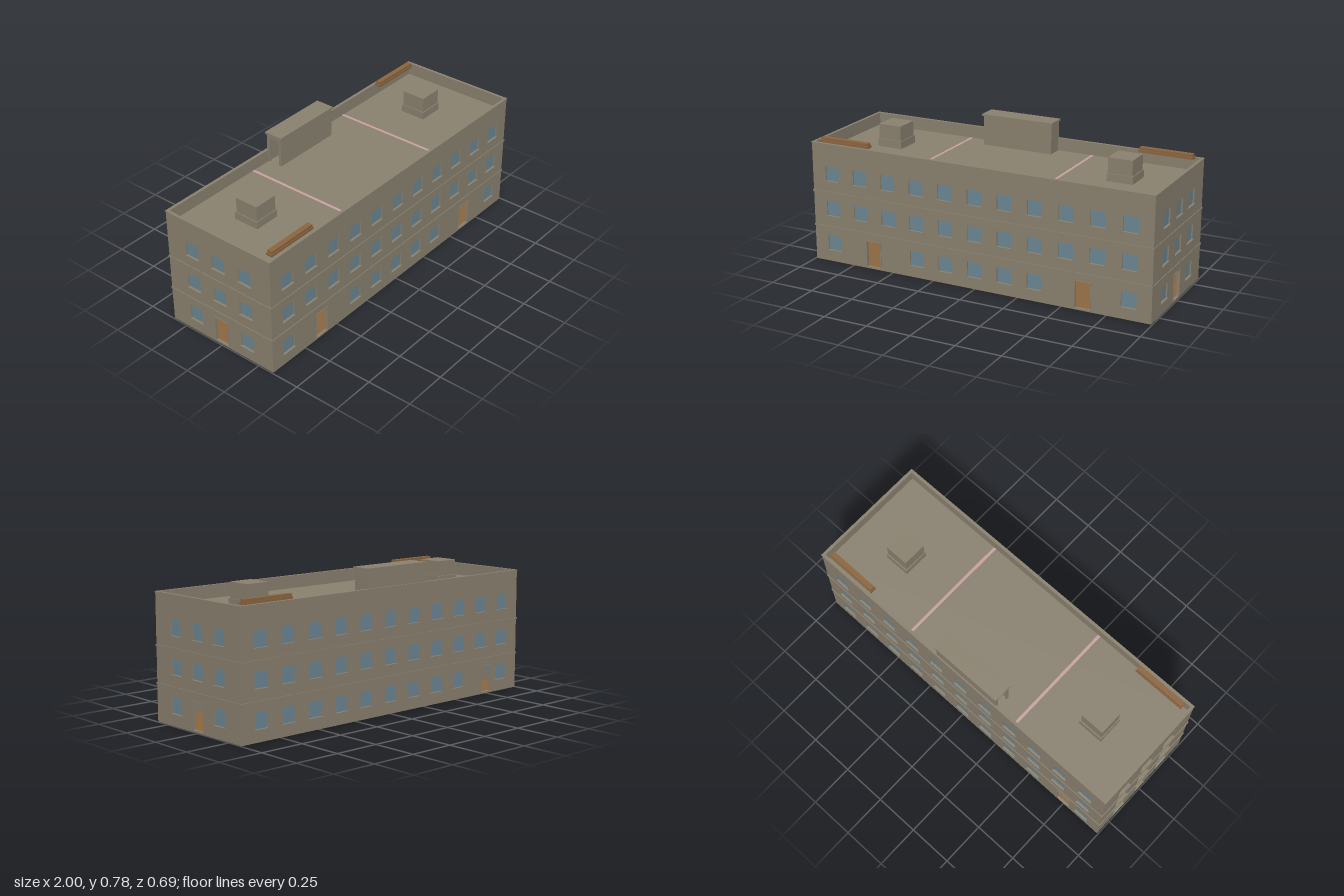
import * as THREE from 'three';

const mat = (name, color, side = THREE.FrontSide) => {
  const m = new THREE.MeshStandardMaterial({ color, side });
  m.name = name;
  return m;
};

// Main dimensions
const HX = 0.994, HZ = 0.342, TOP = 0.674, T = 0.014, ROOF = 0.605;
const WIN = 0.084, DOOR_W = 0.084, DOOR_Y = 0.01, DOOR_TOP = 0.156;
const ROWS = [0.065, 0.265, 0.464];
const COLS = Array.from({ length: 11 }, (_, i) => (i - 5) * 0.174);

export function createModel() {
  const wall = mat('stone', 0x8b8270);
  const glass = mat('window blue', 0x6c8793);
  const wood = mat('wood brown', 0x8c6640);
  const pink = mat('plaster pink', 0xc9a2a2);
  const model = new THREE.Group();
  model.name = 'building';

  const add = (parent, name, geo, m, x = 0, y = 0, z = 0) => {
    const mesh = new THREE.Mesh(geo, m);
    mesh.name = name;
    mesh.position.set(x, y, z);
    parent.add(mesh);
    return mesh;
  };
  // Box given by its minimum and maximum on each axis
  const block = (parent, name, m, x0, x1, y0, y1, z0, z1) =>
    add(parent, name, new THREE.BoxGeometry(x1 - x0, y1 - y0, z1 - z0), m,
      (x0 + x1) / 2, (y0 + y1) / 2, (z0 + z1) / 2);

  const rect = (C, x0, x1, y0, y1) => new C([
    new THREE.Vector2(x0, y0), new THREE.Vector2(x1, y0),
    new THREE.Vector2(x1, y1), new THREE.Vector2(x0, y1)]);
  // Flat panel with rectangular holes
  const panel = (outer, holes, depth) => {
    const s = rect(THREE.Shape, ...outer);
    holes.forEach(h => s.holes.push(rect(THREE.Path, ...h)));
    return new THREE.ExtrudeGeometry(s, { depth, bevelEnabled: false });
  };

  // One outer wall, facing local +z, with windows, sills, doorways and bands
  function facade(name, half, dist, angle, windows, doors, bandHalf) {
    const g = new THREE.Group();
    g.name = name;
    g.rotation.y = angle;
    g.position.set(Math.sin(angle) * dist, 0, Math.cos(angle) * dist);
    const h = WIN / 2, d = DOOR_W / 2;
    const holes = windows.map(([x, y]) => [x - h, x + h, y, y + WIN])
      .concat(doors.map(x => [x - d, x + d, DOOR_Y, DOOR_TOP]));
    add(g, 'wallPanel', panel([-half, half, 0, TOP], holes, T), wall, 0, 0, -T);
    for (const [x, y] of windows) {
      block(g, 'windowPane', glass, x - h, x + h, y, y + WIN, -0.012, -0.008);
      block(g, 'windowSill', wall, x - 0.045, x + 0.045, y - 0.004, y, -0.008, 0.005);
    }
    for (const x of doors) {
      for (const s of [-1, 1]) {
        const e = x + s * (d + 0.0025);
        block(g, 'doorJamb', wall, e - 0.0025, e + 0.0025, DOOR_Y, DOOR_TOP, -0.01, 0.003);
      }
      block(g, 'doorLintel', wall, x - d - 0.005, x + d + 0.005, DOOR_TOP, DOOR_TOP + 0.005, -0.01, 0.003);
    }
    for (const y of [0.2, 0.399])
      block(g, 'storeyBand', wall, -bandHalf, bandHalf, y - 0.005, y + 0.005, -0.005, 0.004);
    block(g, 'coping', wall, -bandHalf, bandHalf, TOP - 0.003, TOP + 0.001, -T, 0.003);
    model.add(g);
  }

  const grid = (xs, keep) => ROWS.flatMap((y, r) =>
    xs.map((x, i) => [x, y, i]).filter(([, , i]) => r > 0 || keep(i)));
  facade('frontWall', HX, HZ, 0, grid(COLS, i => ![1, 2, 8, 9].includes(i)), [-0.62, 0.62], HX + 0.003);
  facade('backWall', HX, HZ, Math.PI, grid(COLS, i => i !== 9), [0.745], HX + 0.003);
  const sideCols = [-0.174, 0, 0.174];
  facade('leftWall', HZ - T, HX, Math.PI / 2, grid(sideCols, i => i !== 1), [0], HZ + 0.003);
  facade('rightWall', HZ - T, HX, -Math.PI / 2, grid(sideCols, i => i !== 1), [0], HZ + 0.003);

  // Slabs: base, wooden floors over pink ceilings, roof
  const ix = HX - T, iz = HZ - T;
  block(model, 'baseSlab', wall, -ix, ix, 0, 0.006, -iz, iz);
  block(model, 'groundFloor', wood, -ix, ix, 0.006, 0.01, -iz, iz);
  for (const y of [0.2, 0.399]) {
    block(model, 'ceiling', pink, -ix, ix, y - 0.006, y, -iz, iz);
    block(model, 'upperFloor', wood, -ix, ix, y, y + 0.006, -iz, iz);
  }
  block(model, 'roof', wall, -ix, ix, ROOF - 0.01, ROOF, -iz, iz);

  // Cross walls, whose tops show as strips on the roof
  for (const x of [-0.372, 0.368])
    block(model, 'crossWall', pink, x - 0.008, x + 0.008, 0.01, ROOF + 0.001, -iz, iz);

  // Roof vents on plinths
  for (const x of [-0.683, 0.683]) {
    block(model, 'ventPlinth', wall, x - 0.073, x + 0.073, ROOF, ROOF + 0.042, -0.1, 0.048);
    block(model, 'ventBox', wall, x - 0.068, x + 0.068, ROOF + 0.042, 0.731, -0.093, 0.043);
  }

  // Stair head: hollow, open at its right end, with an overhanging cap
  const stair = new THREE.Group();
  stair.name = 'stairHead';
  model.add(stair);
  const x0 = -0.25, x1 = 0.162, z0 = -0.337, z1 = -0.24, yc = 0.77;
  block(stair, 'stairFront', wall, x0, x1, ROOF, yc, z1 - 0.01, z1);
  block(stair, 'stairBack', wall, x0, x1, ROOF, yc, z0, z0 + 0.01);
  block(stair, 'stairEnd', wall, x1 - 0.01, x1, ROOF, yc, z0 + 0.01, z1 - 0.01);
  block(stair, 'stairLintel', wall, x0, x0 + 0.01, 0.75, yc, z0 + 0.01, z1 - 0.01);
  for (const z of [z0 + 0.0135, z1 - 0.0135])
    block(stair, 'stairJamb', wall, x0, x0 + 0.01, ROOF, 0.75, z - 0.0035, z + 0.0035);
  block(stair, 'stairCap', wall, x0 - 0.006, x1 + 0.006, yc, 0.781, -0.343, -0.233);

  // Stepped wooden beams at opposite corners
  for (const s of [-1, 1]) {
    const beam = new THREE.Group();
    beam.name = s < 0 ? 'frontBeam' : 'backBeam';
    beam.position.set(s * 0.801, 0, -s * 0.304);
    block(beam, 'beamBase', wood, -0.152, 0.152, 0.673, 0.686, -0.018, 0.018);
    block(beam, 'beamTop', wood, -0.147, 0.147, 0.686, 0.7, -0.0145, 0.0145);
    model.add(beam);
  }
  return model;
}
